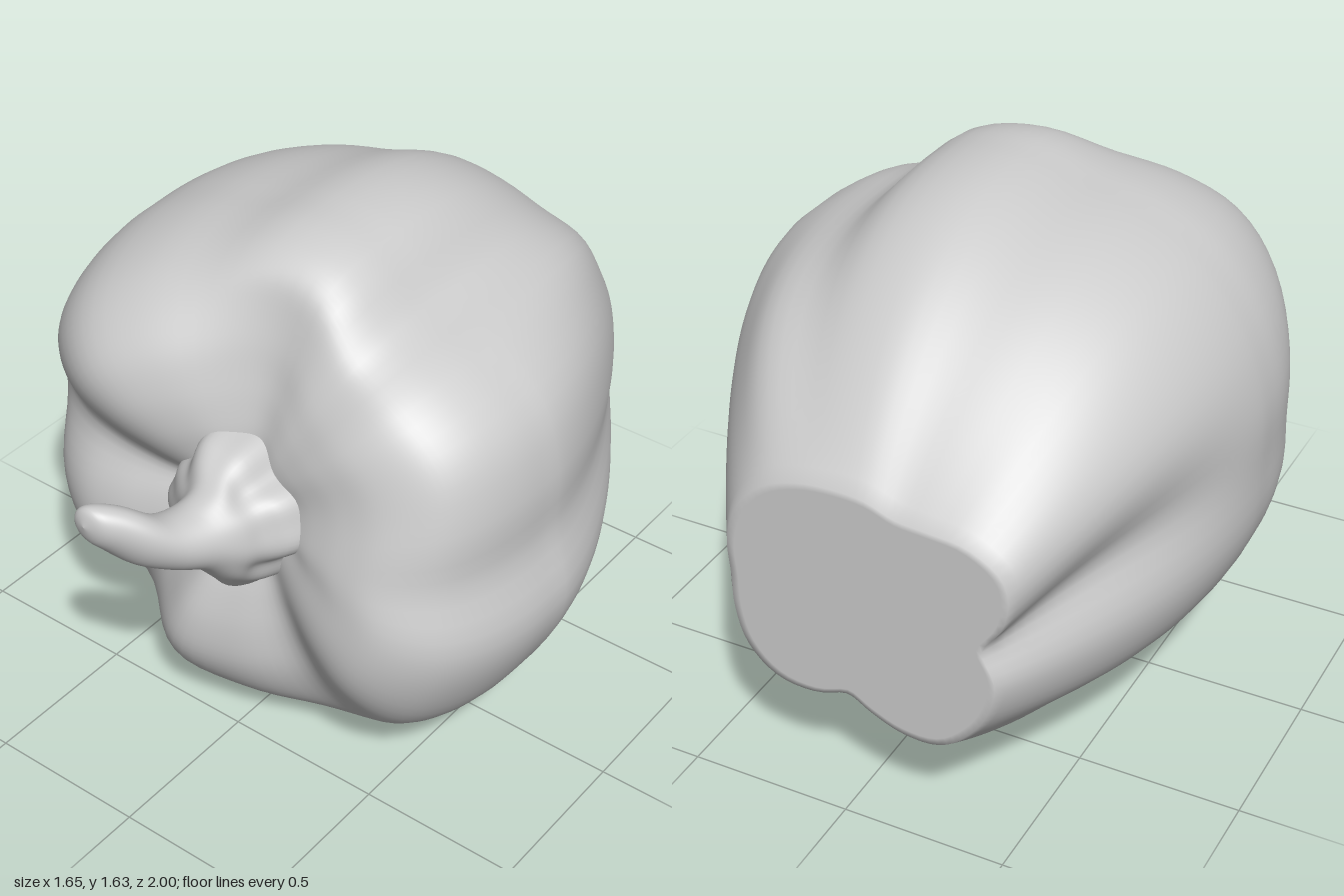
import * as THREE from 'three';

const SEG = 96;
const material = new THREE.MeshStandardMaterial({ color: 0xcccccc, roughness: 0.7 });

// Radii at every 15 degrees, counter-clockwise from +x
const WIDEST = [.775, .80, .82, .775, .722, .80, .815, .79, .822, .86, .866, .85,
  .825, .84, .83, .785, .80, .825, .82, .825, .865, .885, .875, .855];
const TIP = [.43, .45, .46, .45, .42, .39, .37, .35, .38, .44, .47, .42,
  .34, .39, .41, .42, .42, .38, .33, .30, .37, .43, .45, .44];

// Smooth periodic lookup in a radius list
function radiusAt(list, angle) {
  const n = list.length, u = (angle / (2 * Math.PI)) * n;
  const i = Math.floor(u), f = u - i;
  const [a, b, c, d] = [-1, 0, 1, 2].map((k) => list[(i + k + n) % n]);
  return b + 0.5 * f * (c - a + f * (2 * a - 5 * b + 4 * c - d + f * (3 * (b - c) + d - a)));
}

// Bell-shaped bump around an angle given in degrees
function bump(angle, centre, width) {
  const d = ((angle * 180 / Math.PI - centre + 540) % 360) - 180;
  return Math.exp(-((d / width) ** 2));
}

// Skin over closed rings of points, ordered from back to front
function loft(rings) {
  const pos = [], idx = [];
  rings.forEach((ring) => ring.forEach((p) => pos.push(...p)));
  for (let i = 0; i < rings.length - 1; i++) {
    for (let j = 0; j < SEG; j++) {
      const k = (j + 1) % SEG;
      const a = i * SEG + j, b = i * SEG + k, c = b + SEG, d = a + SEG;
      idx.push(a, b, c, a, c, d);
    }
  }
  const g = new THREE.BufferGeometry();
  g.setAttribute('position', new THREE.Float32BufferAttribute(pos, 3));
  g.setIndex(idx);
  g.computeVertexNormals();
  return g;
}

const makeRing = (fn) => Array.from({ length: SEG }, (_, j) => fn((j / SEG) * 2 * Math.PI));

// Flat rear face, a shrunken copy of the tip outline
const tipRing = (scale) => makeRing((a) => {
  const r = radiusAt(TIP, a) * scale;
  return [-0.1 + r * Math.cos(a), 0.72 + r * Math.sin(a), -1];
});

// Rear half: the widest outline narrows to the blunt tip, grooved on one side and below
function rearRing(t) {
  return makeRing((a) => {
    const c = Math.cos(a), s = Math.sin(a);
    const w = Math.pow(t, 1.9 - 0.4 * Math.max(0, c) + 0.5 * s * s);
    const fade = Math.sin(Math.PI * Math.pow(t, 1.6));
    const groove = fade * (0.06 * bump(a, 172, 10) - 0.07 * bump(a, 53, 15))
      + Math.sin(Math.PI * Math.pow(t, 4)) * 0.04 * bump(a, 287, 11);
    const r = THREE.MathUtils.lerp(radiusAt(WIDEST, a), radiusAt(TIP, a), w) - groove;
    return [-0.1 * w + r * c, 0.82 - 0.1 * w + r * s, -t];
  });
}

// Front half: shoulders roll over into the hollow around the stem
function frontRing(scale, z) {
  return makeRing((a) => {
    const r = radiusAt(WIDEST, a) * scale;
    const lobes = 0.06 * bump(a, 139, 19) + 0.02 * bump(a, 328, 20) + 0.02 * bump(a, 205, 14)
      + 0.04 * bump(a, 252, 13) - 0.18 * bump(a, 82, 24) - 0.08 * bump(a, 32, 26)
      - 0.03 * bump(a, 56, 10) - 0.08 * bump(a, 172, 13)
      - 0.09 * bump(a, 229, 12) - 0.09 * bump(a, 296, 17);
    const dz = lobes * 6.75 * scale * scale * (1 - scale);
    return [0.06 * (1 - scale) + r * Math.cos(a), 0.82 + 0.05 * (1 - scale) + r * Math.sin(a), z + dz];
  });
}

function bodyGeometry() {
  const rings = [0, 0.4, 0.75, 0.95].map(tipRing);
  for (let i = 32; i >= 0; i--) rings.push(rearRing(i / 32));
  const shoulder = new THREE.CatmullRomCurve3([
    [1, 0], [0.99, 0.17], [0.95, 0.32], [0.88, 0.44], [0.78, 0.52], [0.65, 0.57],
    [0.5, 0.575], [0.35, 0.55], [0.2, 0.51], [0.01, 0.49],
  ].map(([r, z]) => new THREE.Vector3(r, z, 0)));
  shoulder.getPoints(40).slice(1).forEach((p) => rings.push(frontRing(p.x, p.y)));
  return loft(rings);
}

// Stem stations: centre x, centre y, z, half width, half height, raggedness
const STEM = [
  [0.035, 0.86, 0.44, 0.24, 0.24, 0.1],
  [0.035, 0.865, 0.54, 0.21, 0.22, 0.1],
  [0.04, 0.865, 0.6, 0.165, 0.195, 0.07],
  [0.065, 0.88, 0.66, 0.125, 0.15, 0.02],
  [0.05, 0.905, 0.73, 0.105, 0.1, 0],
  [0.02, 0.93, 0.81, 0.095, 0.088, 0],
  [-0.03, 0.98, 0.89, 0.095, 0.095, 0],
  [-0.07, 1.025, 0.95, 0.075, 0.075, 0],
  [-0.085, 1.045, 0.985, 0.048, 0.05, 0],
  [-0.088, 1.05, 1.0, 0.001, 0.001, 0],
];

function stemGeometry() {
  const rings = [];
  for (let i = 0; i < STEM.length - 1; i++) {
    const [p0, p1, p2, p3] = [-1, 0, 1, 2].map((k) => STEM[THREE.MathUtils.clamp(i + k, 0, STEM.length - 1)]);
    for (let k = 0; k < 4; k++) {
      const f = k / 4;
      const [x, y, z, w, h, rag] = p1.map((b, n) => b + 0.5 * f * (p2[n] - p0[n]
        + f * (2 * p0[n] - 5 * b + 4 * p2[n] - p3[n] + f * (3 * (b - p2[n]) + p3[n] - p0[n]))));
      rings.push(makeRing((a) => {
        const m = 1 + rag * Math.cos(4 * a - 0.7) + rag * 0.4 * Math.cos(9 * a + 1);
        return [x + w * m * Math.cos(a), y + h * m * Math.sin(a), z];
      }));
    }
  }
  const [x, y, z] = STEM[STEM.length - 1];
  rings.push(makeRing(() => [x, y, z]));
  return loft(rings);
}

export function createModel() {
  const group = new THREE.Group();
  group.name = 'bellPepper';
  const add = (name, geometry) => {
    const mesh = new THREE.Mesh(geometry, material);
    mesh.name = name;
    group.add(mesh);
  };
  add('body', bodyGeometry());
  add('stem', stemGeometry());
  return group;
}
